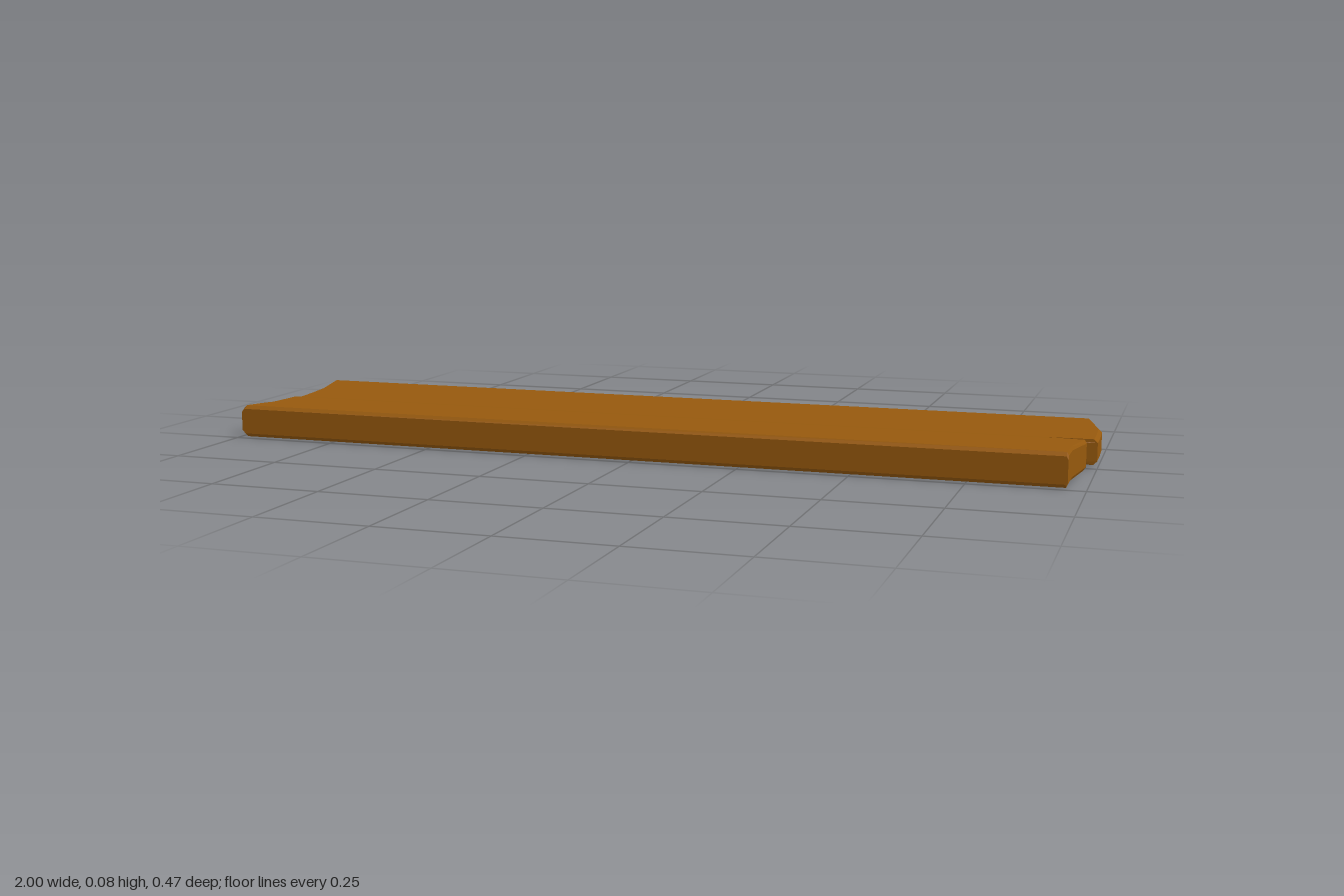
import * as THREE from 'three';

// Cross-sections from back to front: z, left end x, right end x, bottom y, top y, right bevel length
const stations = [
  [-0.233, -1.0, 0.965, 0.01, 0.067, 0.006],
  [-0.225, -0.999, 0.967, 0.002, 0.075, 0.007],
  [-0.13, -0.984, 0.998, 0.01, 0.068, 0.008],
  [-0.06, -0.976, 1.0, 0.01, 0.067, 0.008],
  [0.004, -0.97, 1.0, 0.01, 0.067, 0.008],
  // splintered notch
  [0.008, -0.97, 0.96, 0.009, 0.067, 0.075],
  [0.036, -0.968, 0.955, 0.005, 0.071, 0.015],
  [0.045, -0.967, 0.98, 0.004, 0.072, 0.005],
  [0.15, -0.965, 0.961, 0.001, 0.075, 0.004],
  [0.19, -0.98, 0.96, 0, 0.076, 0.004],
  [0.225, -0.994, 0.96, 0, 0.076, 0.004],
  [0.233, -0.996, 0.96, 0.008, 0.068, 0.004],
];

// Eight-sided bevelled ring in the x-y plane
function ring([z, xl, xr, yb, yt, bevel]) {
  const c = 0.008;
  return [
    [xl, yb + c], [xl, yt - c], [xl + c, yt], [xr - bevel, yt],
    [xr, yt - c], [xr, yb + c], [xr - bevel, yb], [xl + c, yb],
  ].map(([x, y]) => [x, y, z]);
}

function facetedMesh(name, points, material) {
  const geometry = new THREE.BufferGeometry();
  geometry.setAttribute('position', new THREE.Float32BufferAttribute(points.flat(), 3));
  geometry.computeVertexNormals();
  const mesh = new THREE.Mesh(geometry, material);
  mesh.name = name;
  return mesh;
}

export function createModel() {
  const wood = new THREE.MeshStandardMaterial({ color: 0x96590d });
  wood.name = 'brown wood';
  const charcoal = new THREE.MeshStandardMaterial({ color: 0x363636 });
  charcoal.name = 'dark grey';

  const rings = stations.map(ring);
  const plank = [];
  const darkEnd = [];

  // Skin between neighbouring sections; the back corner of the right end is dark
  for (let k = 0; k < rings.length - 1; k++) {
    for (let i = 0; i < 8; i++) {
      const j = (i + 1) % 8;
      const a = rings[k][i], b = rings[k][j];
      const c = rings[k + 1][i], d = rings[k + 1][j];
      const target = i === 4 && k < 2 ? darkEnd : plank;
      target.push(a, c, b, b, c, d);
    }
  }

  // Long side faces
  const back = rings[0], front = rings[rings.length - 1];
  for (let i = 1; i < 7; i++) {
    plank.push(back[0], back[i], back[i + 1]);
    plank.push(front[0], front[i + 1], front[i]);
  }

  const group = new THREE.Group();
  group.name = 'woodenPlank';
  group.add(facetedMesh('plank', plank, wood), facetedMesh('darkEndFace', darkEnd, charcoal));
  return group;
}
